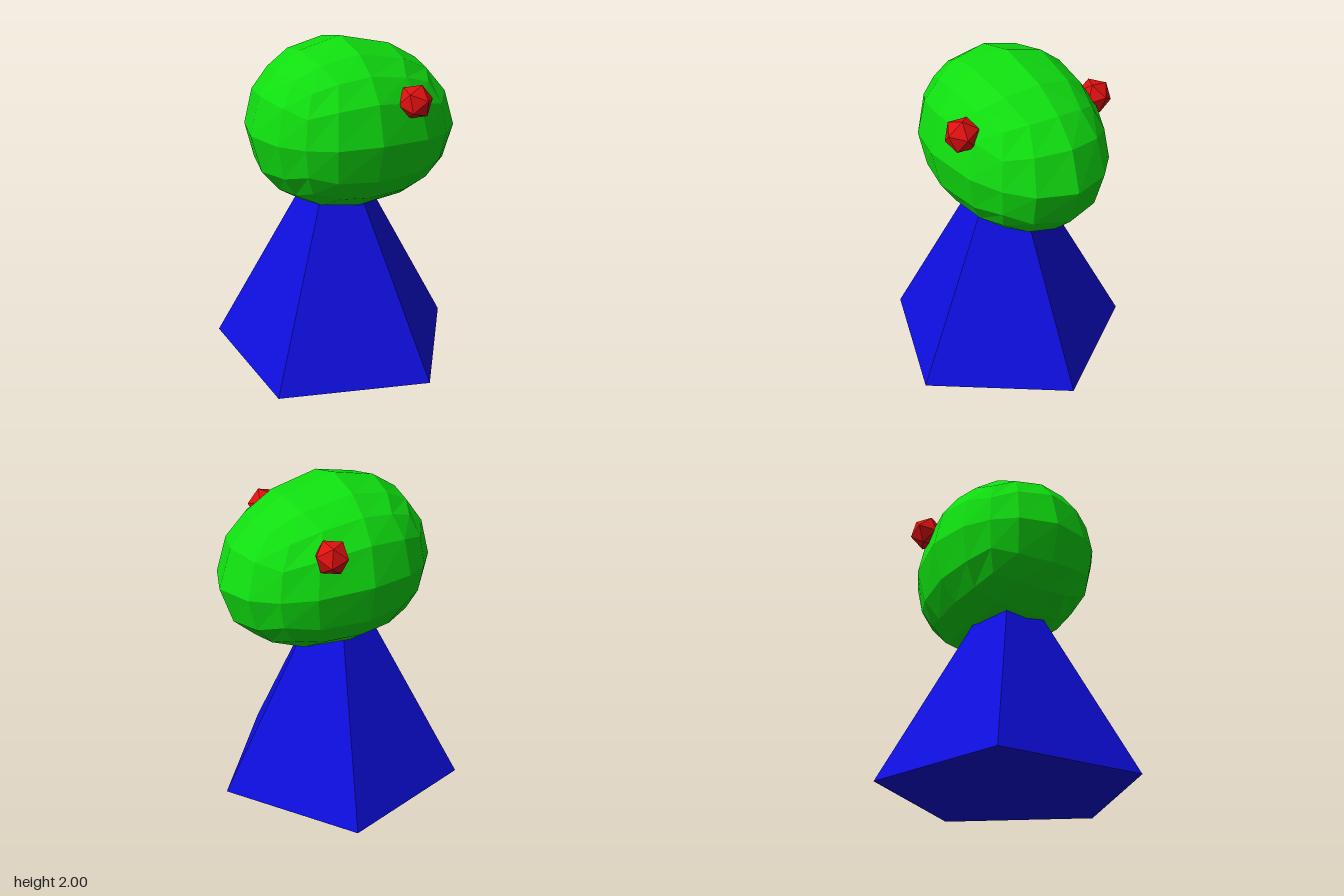
import * as THREE from 'three';

const material = (name, color) => {
  const m = new THREE.MeshStandardMaterial({ color });
  m.name = name;
  return m;
};

// Split the faces apart so every facet gets its own flat normal
function facet(geometry) {
  const g = geometry.index ? geometry.toNonIndexed() : geometry;
  g.computeVertexNormals();
  return g;
}

export function createModel() {
  const model = new THREE.Group();
  const green = material('head green', 0x10df10);
  const blue = material('body blue', 0x0e0ee0);
  const red = material('eye red', 0xde1010);

  const add = (name, geometry, mat) => {
    const mesh = new THREE.Mesh(facet(geometry), mat);
    mesh.name = name;
    model.add(mesh);
    return mesh;
  };

  // Body: five-sided pyramid with one corner towards +x, its tip inside the head
  const body = new THREE.ConeGeometry(0.78, 1.45, 5, 1, false, Math.PI / 2);
  add('body', body, blue).position.set(-0.07, 0.725, 0);

  // Head: a subdivided cube rounded to a sphere, longer and drooping towards +x
  const head = new THREE.BoxGeometry(2, 2, 2, 4, 4, 4);
  const pos = head.attributes.position;
  const v = new THREE.Vector3();
  for (let i = 0; i < pos.count; i++) {
    v.fromBufferAttribute(pos, i).normalize();
    const droop = 0.07 * Math.max(0, v.x);
    pos.setXYZ(i, v.x * (v.x > 0 ? 0.73 : 0.58), v.y * 0.517 - droop, v.z * 0.517);
  }
  add('head', head, green).position.set(-0.04, 1.482, 0);

  // Eyes: small faceted balls on both sides of the head
  for (const side of [1, -1]) {
    const eye = add(side > 0 ? 'frontEye' : 'backEye', new THREE.IcosahedronGeometry(0.105, 0), red);
    eye.position.set(0.2, 1.69, side * 0.45);
    eye.rotation.set(0.3, side * 0.4, 0.2);
  }

  return model;
}
